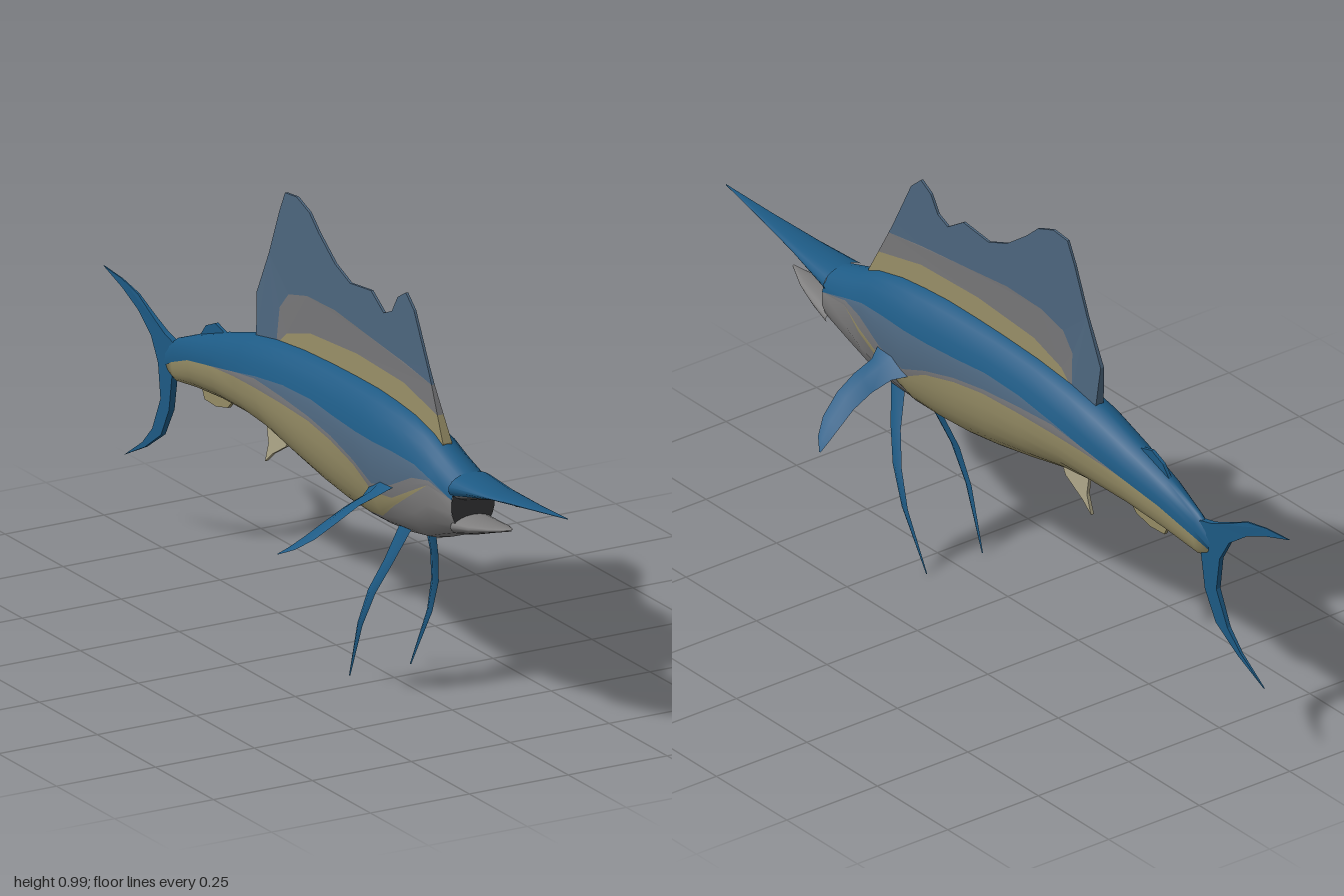
import * as THREE from 'three';
import { mergeVertices } from 'three/addons/utils/BufferGeometryUtils.js';

const material = (name, color) => {
  const m = new THREE.MeshStandardMaterial({ color });
  m.name = name;
  return m;
};

function geometryFrom(points, index) {
  const g = new THREE.BufferGeometry();
  g.setAttribute('position', new THREE.Float32BufferAttribute(points, 3));
  g.setIndex(index);
  return g;
}

// Lofts elliptical rings from front to back, split into colour bands.
// Station: [z, top, bottom, halfWidth, ...heights of the band boundaries]
function loft(name, stations, materials, steps) {
  const points = [], bands = materials.map(() => []);
  let columns = [];
  for (const [z, top, bottom, w, ...cuts] of stations) {
    const mid = (top + bottom) / 2, h = (top - bottom) / 2;
    const angles = [top, ...cuts, bottom].map(y => Math.acos(THREE.MathUtils.clamp((y - mid) / h, -1, 1)));
    const half = [0];
    columns = [];
    steps.forEach((n, b) => {
      for (let k = 1; k <= n; k++) {
        half.push(THREE.MathUtils.lerp(angles[b], angles[b + 1], k / n));
        columns.push(b);
      }
    });
    const ring = [...half, ...half.slice(1, -1).reverse().map(a => -a)];
    columns = [...columns, ...columns.slice().reverse()];
    ring.forEach(a => points.push(w * Math.sin(a), mid + h * Math.cos(a), z));
  }
  const n = columns.length;
  for (let i = 0; i < stations.length - 1; i++) {
    for (let j = 0; j < n; j++) {
      const a = i * n + j, b = i * n + (j + 1) % n;
      bands[columns[j]].push(a, b, b + n, a, b + n, a + n);
    }
  }
  let g = geometryFrom(points, bands.flat());
  let start = 0;
  bands.forEach((band, k) => {
    g.addGroup(start, band.length, k);
    start += band.length;
  });
  g = mergeVertices(g, 1e-5);
  g.computeVertexNormals();
  const mesh = new THREE.Mesh(g, materials);
  mesh.name = name;
  return mesh;
}

// Upright fin in the centre plane from a [z, y] outline
function centreFin(name, outline, mat, thickness) {
  const shape = new THREE.Shape(outline.map(p => new THREE.Vector2(...p)));
  const g = new THREE.ExtrudeGeometry(shape, { depth: 1, bevelEnabled: false });
  const p = g.attributes.position;
  for (let i = 0; i < p.count; i++) {
    const z = p.getX(i), y = p.getY(i);
    p.setXYZ(i, (0.5 - p.getZ(i)) * thickness(y, z), y, z);
  }
  g.computeVertexNormals();
  const mesh = new THREE.Mesh(g, mat);
  mesh.name = name;
  return mesh;
}

// Paired fin; station: [x, leadY, leadZ, trailY, trailZ, thickness]
function sideFin(name, stations, sign, dir, outer, inner) {
  const group = new THREE.Group();
  group.name = name;
  for (const face of [1, -1]) {
    const points = [], index = [];
    for (const [x, ly, lz, ty, tz, th] of stations) {
      const o = face * th / 2;
      points.push(sign * x, ly, lz);
      points.push(sign * (x + dir[0] * o), (ly + ty) / 2 + dir[1] * o, (lz + tz) / 2);
      points.push(sign * x, ty, tz);
    }
    for (let i = 0; i < stations.length - 1; i++) {
      for (let j = 0; j < 2; j++) {
        const a = i * 3 + j, b = a + 1, c = a + 3, d = a + 4;
        if (sign * face > 0) index.push(a, c, d, a, d, b);
        else index.push(a, d, c, a, b, d);
      }
    }
    const g = geometryFrom(points, index);
    g.computeVertexNormals();
    const mesh = new THREE.Mesh(g, face > 0 ? outer : inner);
    mesh.name = name + (face > 0 ? 'Outer' : 'Inner');
    group.add(mesh);
  }
  return group;
}

export function createModel() {
  const model = new THREE.Group();
  model.name = 'sailfish';
  const blue = material('back blue', 0x1d5a84);
  const slate = material('slate blue', 0x4d667e);
  const taupe = material('taupe', 0x747476);
  const khaki = material('khaki', 0x958c65);
  const grey = material('belly grey', 0x7d7c7c);
  const pale = material('pale fin', 0xb0a88a);
  const dark = material('mouth dark', 0x3a3a3c);

  // Body: blue back, slate and taupe flank, khaki side, grey belly
  model.add(loft('body', [
    [0.59, 0.572, 0.435, 0.056, 0.52, 0.52, 0.52, 0.52],
    [0.50, 0.600, 0.400, 0.066, 0.545, 0.54, 0.53, 0.53],
    [0.44, 0.625, 0.380, 0.070, 0.56, 0.53, 0.50, 0.49],
    [0.36, 0.642, 0.368, 0.075, 0.565, 0.49, 0.46, 0.44],
    [0.28, 0.650, 0.362, 0.078, 0.565, 0.47, 0.45, 0.39],
    [0.20, 0.655, 0.360, 0.075, 0.565, 0.50, 0.49, 0.375],
    [0.10, 0.655, 0.365, 0.073, 0.57, 0.525, 0.515, 0.38],
    [0.00, 0.653, 0.378, 0.072, 0.578, 0.54, 0.53, 0.39],
    [-0.12, 0.648, 0.400, 0.071, 0.575, 0.55, 0.535, 0.41],
    [-0.24, 0.637, 0.425, 0.068, 0.56, 0.555, 0.535, 0.43],
    [-0.34, 0.620, 0.432, 0.062, 0.54, 0.54, 0.53, 0.432],
    [-0.46, 0.585, 0.430, 0.050, 0.515, 0.515, 0.515, 0.43],
    [-0.58, 0.545, 0.420, 0.037, 0.49, 0.49, 0.49, 0.42],
    [-0.68, 0.505, 0.405, 0.018, 0.452, 0.452, 0.452, 0.405],
    [-0.745, 0.46, 0.420, 0.003, 0.42, 0.42, 0.42, 0.42],
  ], [blue, slate, taupe, khaki, grey], [5, 3, 2, 5, 4]));

  // Bill, lower jaw and the mouth between them
  model.add(loft('bill', [
    [1.00, 0.591, 0.589, 0.001, 0.5895],
    [0.86, 0.578, 0.571, 0.018, 0.573],
    [0.72, 0.568, 0.553, 0.037, 0.557],
    [0.58, 0.574, 0.510, 0.057, 0.528],
  ], [blue, grey], [6, 4]));
  model.add(loft('lowerJaw', [
    [0.76, 0.495, 0.490, 0.003],
    [0.70, 0.487, 0.470, 0.028],
    [0.64, 0.481, 0.449, 0.042],
    [0.58, 0.478, 0.431, 0.052],
  ], [grey], [10]));
  const mouth = new THREE.Mesh(new THREE.CircleGeometry(1, 28), dark);
  mouth.name = 'mouth';
  mouth.scale.set(0.055, 0.067, 1);
  mouth.position.set(0, 0.5035, 0.59);
  model.add(mouth);

  // Sail: three stacked bands between shared edge lines, thicker at the root
  const base = [[0.48, 0.59], [0.3, 0.63], [0.1, 0.64], [-0.1, 0.635], [-0.24, 0.62]];
  const khakiEdge = [[0.48, 0.61], [0.45, 0.666], [0.3, 0.697], [0.1, 0.703], [-0.1, 0.69], [-0.2, 0.66], [-0.24, 0.625]];
  const taupeEdge = [[0.45, 0.666], [0.418, 0.726], [0.3, 0.742], [0.15, 0.757], [0, 0.773], [-0.12, 0.77],
    [-0.2, 0.75], [-0.235, 0.71], [-0.24, 0.625]];
  const sailEdge = [[0.40, 0.76], [0.34, 0.875], [0.305, 0.905], [0.27, 0.885], [0.245, 0.845],
    [0.21, 0.83], [0.155, 0.865], [0.065, 0.855], [0, 0.88], [-0.07, 0.93], [-0.11, 0.965], [-0.165, 0.985],
    [-0.215, 0.98], [-0.24, 0.93], [-0.285, 0.82], [-0.335, 0.715], [-0.325, 0.61], [-0.24, 0.62]];
  const sailThickness = y => 0.006 + Math.max(0, 0.74 - y) * 0.13;
  const band = (upper, lower) => [...upper, ...lower.slice().reverse()];
  model.add(centreFin('sailRoot', band(khakiEdge, base), khaki, sailThickness));
  model.add(centreFin('sailMiddle', band(taupeEdge, khakiEdge.slice(2, -1)), taupe, sailThickness));
  model.add(centreFin('sailTop', band(sailEdge, taupeEdge.slice(1)), slate, sailThickness));

  // Small fins above and below the tail stem
  const thin = () => 0.008;
  model.add(centreFin('rearDorsalFin', [[-0.44, 0.57], [-0.48, 0.58], [-0.515, 0.589], [-0.555, 0.572], [-0.59, 0.53], [-0.56, 0.52], [-0.46, 0.55]], blue, thin));
  model.add(centreFin('analFin', [[-0.19, 0.43], [-0.21, 0.395], [-0.27, 0.36], [-0.30, 0.335], [-0.285, 0.38], [-0.295, 0.44]], pale, thin));
  model.add(centreFin('rearAnalFin', [[-0.43, 0.44], [-0.46, 0.41], [-0.51, 0.398], [-0.56, 0.40], [-0.575, 0.43]], khaki, thin));

  // Forked tail
  model.add(centreFin('tailFin', [[-0.68, 0.49], [-0.73, 0.502], [-0.78, 0.523], [-0.85, 0.556], [-0.92, 0.57], [-1, 0.576],
    [-0.92, 0.55], [-0.85, 0.52], [-0.79, 0.478], [-0.758, 0.425], [-0.747, 0.345], [-0.785, 0.265], [-0.83, 0.22],
    [-0.91, 0.167], [-0.82, 0.211], [-0.745, 0.262], [-0.708, 0.33], [-0.695, 0.41]], blue,
  (y, z) => THREE.MathUtils.lerp(0.016, 0.003, THREE.MathUtils.clamp((-0.68 - z) / 0.2, 0, 1))));

  // Paired pectoral and pelvic fins
  for (const [side, sign] of [['left', 1], ['right', -1]]) {
    model.add(sideFin(side + 'PectoralFin', [
      [0.060, 0.495, 0.375, 0.460, 0.255, 0.034],
      [0.100, 0.470, 0.356, 0.448, 0.285, 0.020],
      [0.150, 0.453, 0.353, 0.432, 0.290, 0.016],
      [0.200, 0.424, 0.350, 0.407, 0.290, 0.014],
      [0.250, 0.388, 0.335, 0.376, 0.282, 0.010],
      [0.285, 0.362, 0.308, 0.356, 0.275, 0.006],
      [0.308, 0.345, 0.274, 0.345, 0.270, 0.001],
    ], sign, [0, 1], blue, khaki));
    model.add(sideFin(side + 'PelvicFin', [
      [0.028, 0.390, 0.378, 0.390, 0.328, 0.014],
      [0.058, 0.300, 0.342, 0.300, 0.306, 0.013],
      [0.080, 0.225, 0.306, 0.225, 0.274, 0.012],
      [0.088, 0.140, 0.264, 0.140, 0.242, 0.010],
      [0.077, 0.000, 0.192, 0.000, 0.187, 0.002],
    ], sign, [1, 0], blue, blue));
  }
  return model;
}
